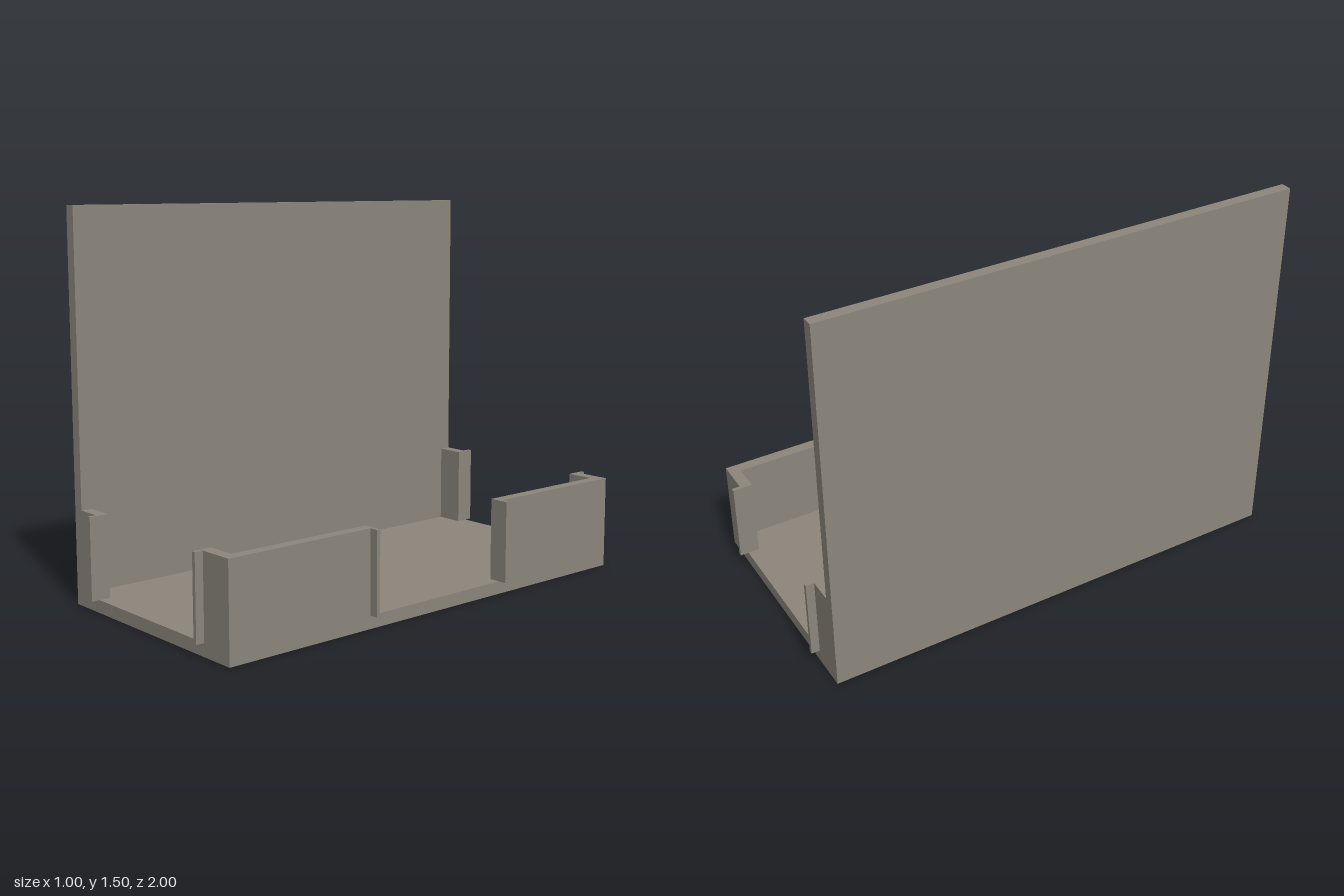
import * as THREE from 'three';

export function createModel() {
  const model = new THREE.Group();
  model.name = 'openShelter';
  const concrete = new THREE.MeshStandardMaterial({ color: 0x8c867c });
  concrete.name = 'warm grey concrete';

  // Box given by its lower and upper corners
  function slab(name, [x0, y0, z0], [x1, y1, z1]) {
    const mesh = new THREE.Mesh(new THREE.BoxGeometry(x1 - x0, y1 - y0, z1 - z0), concrete);
    mesh.position.set((x0 + x1) / 2, (y0 + y1) / 2, (z0 + z1) / 2);
    mesh.name = name;
    model.add(mesh);
  }

  // Low wall raised from a floor plan of [x, z] points
  const floorTop = 0.05, lowTop = 0.37;
  function wall(name, plan) {
    const shape = new THREE.Shape(plan.map(([x, z]) => new THREE.Vector2(x, -z)));
    const geo = new THREE.ExtrudeGeometry(shape, { depth: lowTop - floorTop, bevelEnabled: false });
    geo.rotateX(-Math.PI / 2);
    const mesh = new THREE.Mesh(geo, concrete);
    mesh.position.y = floorTop;
    mesh.name = name;
    model.add(mesh);
  }
  const mirror = (plan) => plan.map(([x, z]) => [x, -z]).reverse();

  // Floor and tall upper panel
  slab('floor', [-0.5, 0, -0.967], [0.463, floorTop, 0.967]);
  slab('upperPanel', [-0.5, lowTop, -0.967], [-0.456, 1.5, 0.967]);

  // Long low wall with a short return and a thin door stop at each end
  const returnEnd = [
    [-0.5, 0.967], [-0.358, 0.967], [-0.358, 1], [-0.343, 1], [-0.343, 0.922], [-0.456, 0.922],
  ];
  wall('longLowWall', [...returnEnd, ...mirror(returnEnd)]);

  // Two corner walls either side of the wide opening, each with two door stops
  const corner = [
    [0.463, 0.967], [0.463, 0.342], [0.497, 0.342], [0.497, 0.327], [0.418, 0.327],
    [0.418, 0.922], [0.306, 0.922], [0.306, 1], [0.321, 1], [0.321, 0.967],
  ];
  wall('frontCornerWall', corner);
  wall('rearCornerWall', mirror(corner));

  return model;
}
